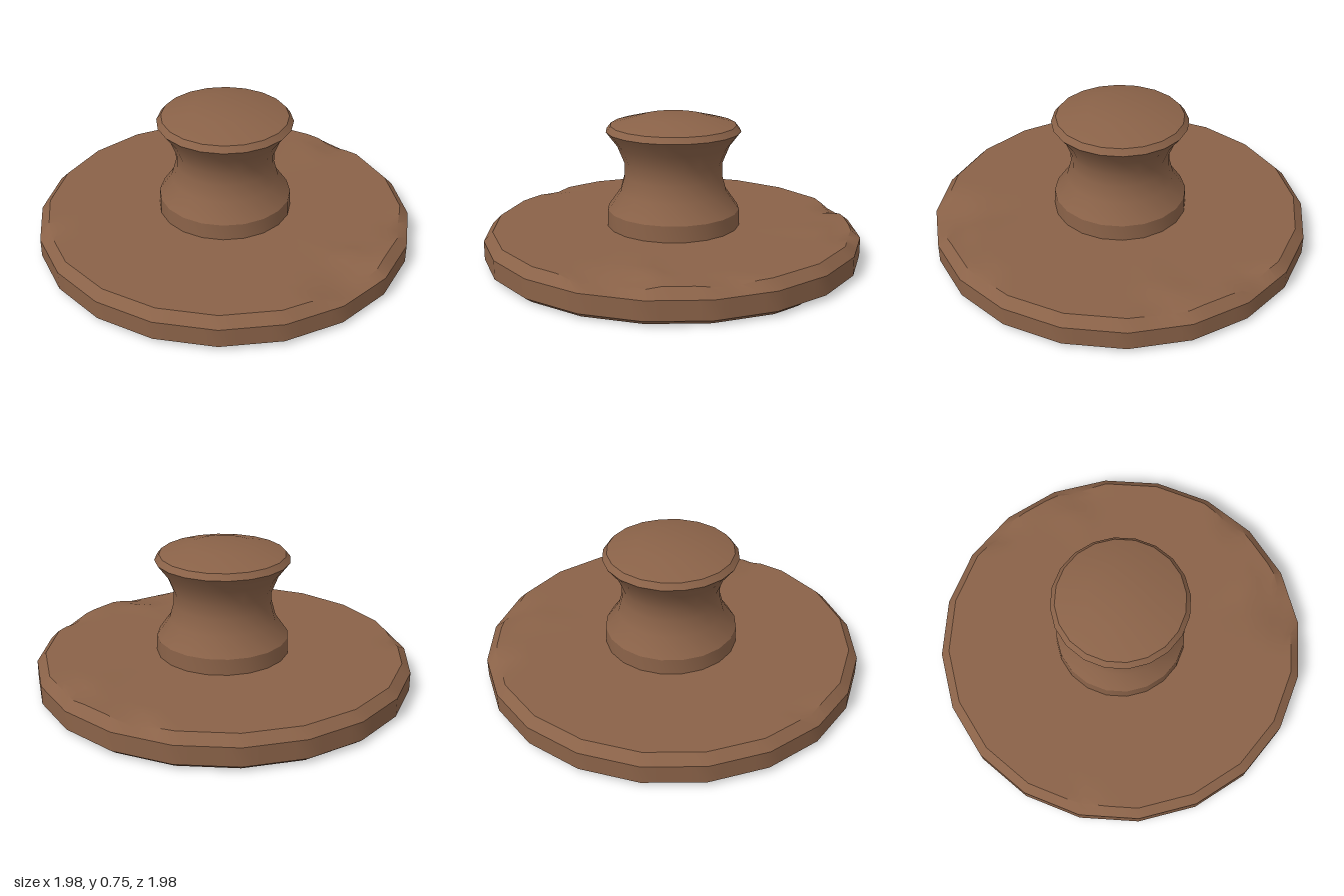
import * as THREE from 'three';
import { toCreasedNormals } from 'three/addons/utils/BufferGeometryUtils.js';

const SIDES = 20;
const CREASE = 0.5;
const lathe = (points, segments) =>
  new THREE.LatheGeometry(points.map(([r, y]) => new THREE.Vector2(r, y)), segments);

// Worn spots on the rim: centre, reach, drop of the top, inward pull
const topChips = [
  { x: -0.2, z: 0.97, reach: 0.27, drop: 0.055, pull: 0.01 },
  { x: 0.4, z: 0.88, reach: 0.14, drop: 0.025, pull: 0.01 },
  { x: 0.88, z: -0.4, reach: 0.14, drop: 0.035, pull: 0.02 },
  { x: 0.93, z: 0.1, reach: 0.16, drop: 0.02, pull: 0.01 },
  { x: -0.78, z: -0.54, reach: 0.1, drop: 0.02, pull: 0.01 },
  { x: 0.78, z: 0.05, reach: 0.15, drop: -0.012, pull: 0 },
  { x: 0, z: 0.78, reach: 0.1, drop: -0.012, pull: 0 },
];
const bottomChips = [
  { x: -0.93, z: 0.34, reach: 0.17, drop: -0.045, pull: 0.03 },
  { x: 0.75, z: 0.62, reach: 0.1, drop: -0.015, pull: 0.01 },
];

function makeDisc() {
  const segments = SIDES * 4;
  const geometry = lathe([
    [0, 0.005], [0.7, 0.005], [0.96, 0.005], [0.992, 0.03], [0.992, 0.128],
    [0.945, 0.175], [0.9, 0.175], [0.84, 0.175], [0.78, 0.175], [0.7, 0.175],
    [0.5, 0.175], [0.3, 0.175], [0, 0.175],
  ], segments);
  const position = geometry.attributes.position;
  const step = (Math.PI * 2) / SIDES;
  for (let i = 0; i < position.count; i++) {
    let x = position.getX(i), y = position.getY(i), z = position.getZ(i);
    // Flatten the fine circle onto a polygon
    const around = Math.floor(i / 13) % segments;
    const offset = (around % 4) * step / 4 - step / 2;
    const scale = Math.cos(step / 2) / Math.cos(offset);
    x *= scale;
    z *= scale;
    // Press the worn spots into the top and bottom edges
    const chips = y > 0.15 ? topChips : y < 0.02 ? bottomChips : [];
    let drop = 0, pull = 0;
    for (const chip of chips) {
      const t = Math.max(0, 1 - Math.hypot(x - chip.x, z - chip.z) / chip.reach);
      drop += chip.drop * t;
      pull += chip.pull * t;
    }
    position.setXYZ(i, x * (1 - pull), y - drop, z * (1 - pull));
  }
  return toCreasedNormals(geometry, CREASE);
}

function makeKnob() {
  return toCreasedNormals(lathe([
    [0.352, 0.15], [0.349, 0.26], [0.282, 0.355], [0.259, 0.44], [0.259, 0.51],
    [0.295, 0.6], [0.354, 0.678], [0.33, 0.708], [0.17, 0.75], [0, 0.75],
  ], SIDES), CREASE);
}

export function createModel() {
  const group = new THREE.Group();
  group.name = 'lid';
  const wood = new THREE.MeshStandardMaterial({ color: 0x8a6248 });
  wood.name = 'brown wood';

  // Wide round plate with a bevelled, worn rim
  const disc = new THREE.Mesh(makeDisc(), wood);
  disc.name = 'disc';

  // Waisted handle in the middle
  const knob = new THREE.Mesh(makeKnob(), wood);
  knob.name = 'knob';
  knob.position.x = 0.006;

  group.add(disc, knob);
  return group;
}
